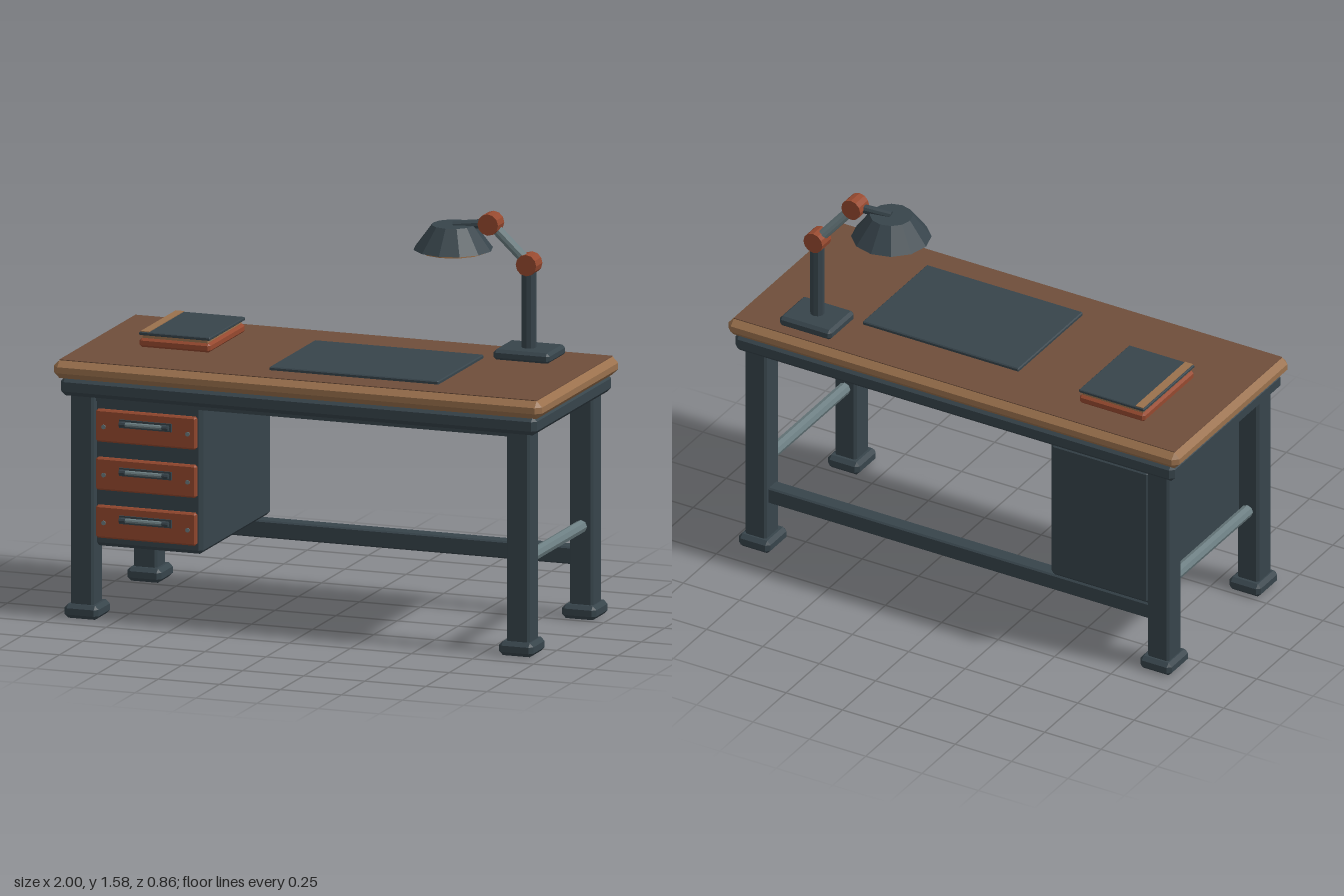
import * as THREE from 'three';
import { ConvexGeometry } from 'three/addons/geometries/ConvexGeometry.js';

const paint = (name, color) => {
  const m = new THREE.MeshStandardMaterial({ color });
  m.name = name;
  m.flatShading = true;
  return m;
};

export function createModel() {
  const model = new THREE.Group();
  model.name = 'desk';
  const slate = paint('slate', 0x37444b);
  const walnut = paint('walnut', 0x6f4e3b);
  const oak = paint('oak', 0x9a714d);
  const rust = paint('rust', 0x96492f);
  const steel = paint('steel', 0x6c7e82);

  const add = (name, geometry, material, parent = model) => {
    const mesh = new THREE.Mesh(geometry, material);
    mesh.name = name;
    parent.add(mesh);
    return mesh;
  };

  // Box between two corners with every edge cut by c
  const block = (name, material, [x0, x1], [y0, y1], [z0, z1], c = 0, parent = model) => {
    const half = [(x1 - x0) / 2, (y1 - y0) / 2, (z1 - z0) / 2];
    let geometry;
    if (c > 0) {
      const points = [];
      for (const sx of [-1, 1]) for (const sy of [-1, 1]) for (const sz of [-1, 1])
        for (let axis = 0; axis < 3; axis++) {
          const p = half.map((h, i) => (i === axis ? h : h - c));
          points.push(new THREE.Vector3(p[0] * sx, p[1] * sy, p[2] * sz));
        }
      geometry = new ConvexGeometry(points);
    } else {
      geometry = new THREE.BoxGeometry(...half.map(h => h * 2));
    }
    const mesh = add(name, geometry, material, parent);
    mesh.position.set((x0 + x1) / 2, (y0 + y1) / 2, (z0 + z1) / 2);
    return mesh;
  };

  // Round bar between two points
  const rod = (name, material, from, to, radius, sides = 10, parent = model) => {
    const a = new THREE.Vector3(...from), b = new THREE.Vector3(...to);
    const dir = b.clone().sub(a);
    const mesh = add(name, new THREE.CylinderGeometry(radius, radius, dir.length(), sides), material, parent);
    mesh.position.copy(a).add(b).multiplyScalar(0.5);
    mesh.quaternion.setFromUnitVectors(new THREE.Vector3(0, 1, 0), dir.normalize());
    return mesh;
  };

  // Tabletop: bevelled oak edge, walnut surface, apron and underside
  block('tabletopEdge', oak, [-1, 1], [0.94, 1.01], [-0.43, 0.43], 0.023);
  block('tabletopSurface', walnut, [-0.977, 0.977], [1.006, 1.013], [-0.407, 0.407]);
  block('apron', slate, [-0.975, 0.975], [0.872, 0.945], [-0.415, 0.415], 0.018);
  block('underside', slate, [-0.85, 0.85], [0.85, 0.88], [-0.36, 0.36]);

  // Legs, feet and side bars
  for (const s of [-1, 1]) {
    const span = (a, b) => (s > 0 ? [a, b] : [-b, -a]);
    for (const t of [-1, 1]) {
      const depth = (a, b) => (t > 0 ? [a, b] : [-b, -a]);
      block('leg', slate, span(0.845, 0.94), [0.03, 0.89], depth(0.288, 0.39), 0.009);
      block('foot', slate, span(0.82, 0.96), [0, 0.055], depth(0.262, 0.412), 0.015);
    }
    rod('sideBar', steel, [s * 0.893, 0.362, -0.3], [s * 0.893, 0.362, 0.3], 0.025, 8);
  }
  block('backStretcher', slate, [-0.86, 0.86], [0.205, 0.273], [-0.37, -0.305], 0.006);

  // Drawer cabinet
  block('cabinet', slate, [-0.855, -0.413], [0.28, 0.872], [-0.388, 0.352], 0.015);
  for (const y of [0.757, 0.568, 0.38]) {
    const drawer = new THREE.Group();
    drawer.name = 'drawer';
    drawer.position.set(-0.638, y, 0.365);
    model.add(drawer);
    block('drawerFront', rust, [-0.205, 0.205], [-0.064, 0.064], [-0.025, 0.005], 0.007, drawer);
    block('handlePlate', slate, [-0.107, 0.107], [0, 0.032], [0.003, 0.012], 0, drawer);
    rod('handleGrip', steel, [-0.08, 0.018, 0.024], [0.08, 0.018, 0.024], 0.009, 8, drawer);
    for (const s of [-1, 1]) {
      rod('handleEnd', slate, [s * 0.075, 0.018, 0.024], [s * 0.1, 0.018, 0.024], 0.011, 8, drawer);
      rod('rivet', steel, [s * 0.172, -0.003, 0], [s * 0.172, -0.003, 0.009], 0.009, 8, drawer);
    }
  }

  // Desk mat
  block('deskMat', slate, [-0.163, 0.53], [1.008, 1.026], [-0.198, 0.29], 0.004);

  // Book
  block('bookBase', rust, [-0.768, -0.478], [1.012, 1.048], [-0.28, 0.102], 0.009);
  block('bookPages', oak, [-0.757, -0.49], [1.045, 1.062], [-0.27, 0.092]);
  block('bookCover', slate, [-0.768, -0.478], [1.06, 1.073], [-0.28, 0.102], 0.003);
  block('bookBand', oak, [-0.762, -0.728], [1.071, 1.076], [-0.277, 0.099]);

  // Desk lamp
  const lamp = new THREE.Group();
  lamp.name = 'lamp';
  model.add(lamp);
  const elbow = [0.688, 1.38, -0.268], wrist = [0.553, 1.54, -0.212];
  block('lampBase', slate, [0.572, 0.802], [1.01, 1.053], [-0.368, -0.18], 0.012, lamp);
  rod('lampPost', slate, [0.688, 1.04, -0.268], elbow, 0.028, 10, lamp);
  rod('lampArm', steel, elbow, wrist, 0.021, 10, lamp);
  rod('lampNeck', slate, wrist, [0.41, 1.527, -0.183], 0.018, 10, lamp);
  for (const [x, y, z] of [elbow, wrist])
    rod('lampJoint', rust, [x, y, z - 0.034], [x, y, z + 0.034], 0.042, 12, lamp);
  const shade = add('lampShade', new THREE.CylinderGeometry(0.083, 0.154, 0.095, 12), slate, lamp);
  shade.position.set(0.41, 1.483, -0.183);
  const glow = add('lampDiffuser', new THREE.CylinderGeometry(0.128, 0.128, 0.012, 12), oak, lamp);
  glow.position.set(0.41, 1.431, -0.183);

  return model;
}
